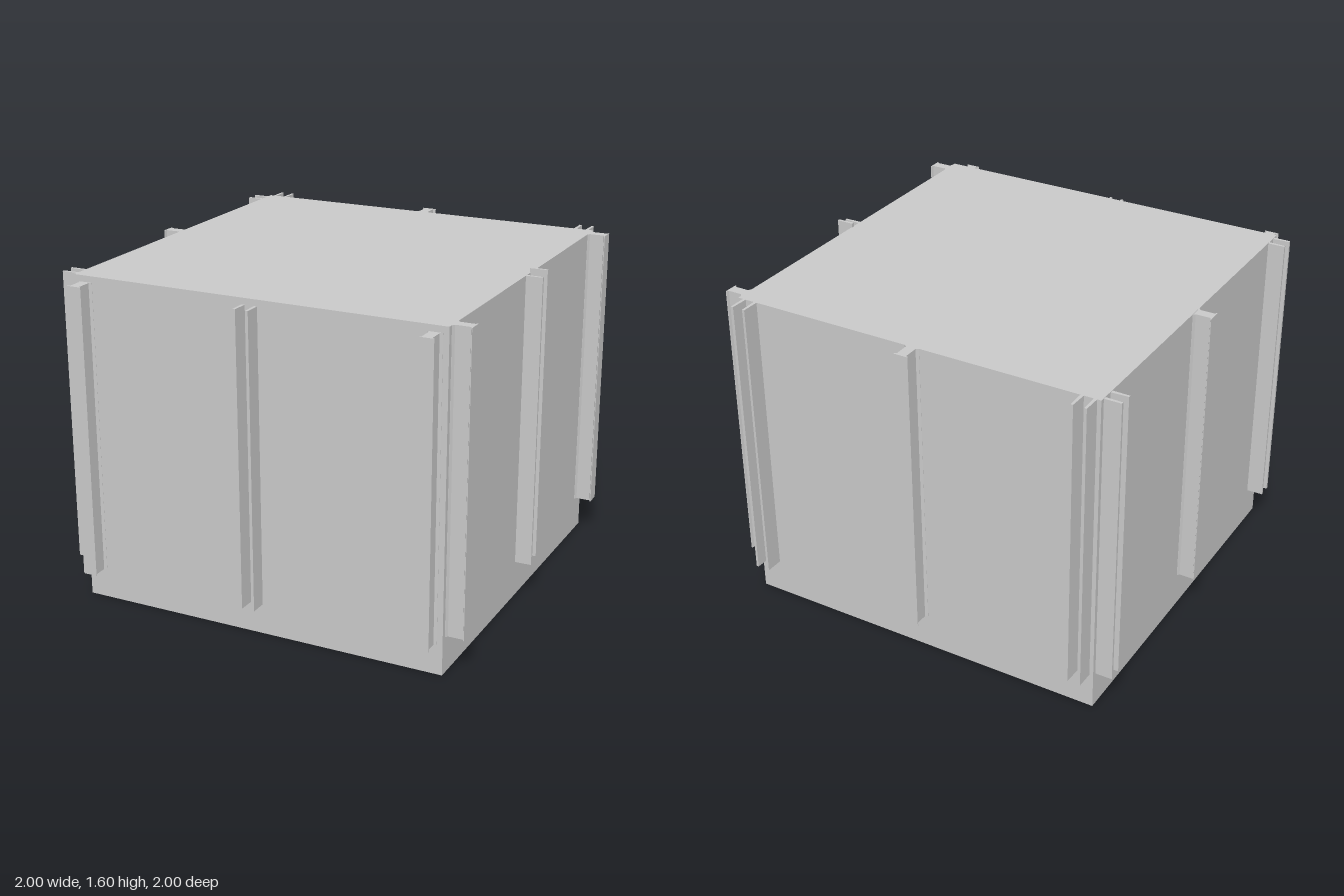
import * as THREE from 'three';

export function createModel() {
  const root = new THREE.Group();
  root.name = 'modularCrate';
  const grey = new THREE.MeshStandardMaterial({ color: 0xc8c8c8 });
  grey.name = 'plain grey';

  const HALF = 0.912, TOP = 1.58, ROOF = 0.2, LIP = 0.05;

  // Extrudes a plan outline (x, z) between heights y0 and y1
  function prism(name, outline, y0, y1, hole) {
    const toPlan = ([x, z]) => new THREE.Vector2(x, z);
    const shape = new THREE.Shape(outline.map(toPlan));
    if (hole) shape.holes.push(new THREE.Path(hole.map(toPlan)));
    const geo = new THREE.ExtrudeGeometry(shape, { depth: y1 - y0, bevelEnabled: false });
    geo.rotateX(Math.PI / 2);
    geo.translate(0, y1, 0);
    const mesh = new THREE.Mesh(geo, grey);
    mesh.name = name;
    return mesh;
  }
  const square = (h) => [[-h, -h], [h, -h], [h, h], [-h, h]];

  // Opening with a narrow slot on the front and back inner walls
  const opening = (xMax) => [
    [-0.705, -0.705], [0.53, -0.705], [0.53, -0.76], [0.57, -0.76], [0.57, -0.705], [xMax, -0.705],
    [xMax, 0.705], [0.57, 0.705], [0.57, 0.76], [0.53, 0.76], [0.53, 0.705], [-0.705, 0.705],
  ];

  // Hollow body, open underneath
  root.add(prism('bottomLip', square(HALF), 0, LIP, opening(0.705)));
  root.add(prism('walls', square(HALF), LIP, TOP - ROOF, opening(0.725)));
  root.add(prism('roof', square(HALF), TOP - ROOF, TOP));

  // Rail profiles: offset along the face, distance out from it
  const IN = HALF - 0.004;
  const tongueHalf = [
    [0.036, IN], [0.036, HALF + 0.001], [0.024, HALF + 0.009],
    [0.024, 0.991], [0.035, 0.996], [0.035, 1],
  ];
  const tongue = [...tongueHalf, ...tongueHalf.map(([x, z]) => [-x, z]).reverse()];
  const lip = (tip) => [[0.022, IN], [0.038, IN], [0.037, tip], [0.025, tip]];

  // Each face: turn about y, rail centres, foot and head heights, reach of the
  // channel lips, and how far one lip of the channel is raised
  const faces = [
    { name: 'front', turn: 0, tongues: [-0.854, 0.849], channels: [-0.012], y: [0.145, 1.55], tip: 0.99, lift: 0 },
    { name: 'left', turn: Math.PI / 2, tongues: [-0.852, 0.855], channels: [-0.003], y: [0.175, 1.58], tip: 0.992, lift: 0.02 },
    { name: 'back', turn: Math.PI, tongues: [0.012], channels: [0.855, -0.848], y: [0.172, 1.58], tip: 0.998, lift: 0 },
    { name: 'right', turn: -Math.PI / 2, tongues: [-0.012], channels: [-0.853, 0.848], y: [0.172, 1.578], tip: 0.993, lift: 0 },
  ];
  for (const { name, turn, tongues, channels, y: [y0, y1], tip, lift } of faces) {
    const side = new THREE.Group();
    side.name = name + 'Rails';
    side.rotation.y = turn;
    const place = (points, centre, mirror = 1) => points.map(([x, z]) => [centre + mirror * x, z]);
    for (const c of tongues) side.add(prism('tongueRail', place(tongue, c), y0, y1));
    for (const c of channels) {
      side.add(prism('channelLip', place(lip(tip), c, -1), y0, y1));
      side.add(prism('channelLip', place(lip(tip), c), y0 + lift, y1 + lift));
    }
    root.add(side);
  }
  return root;
}
